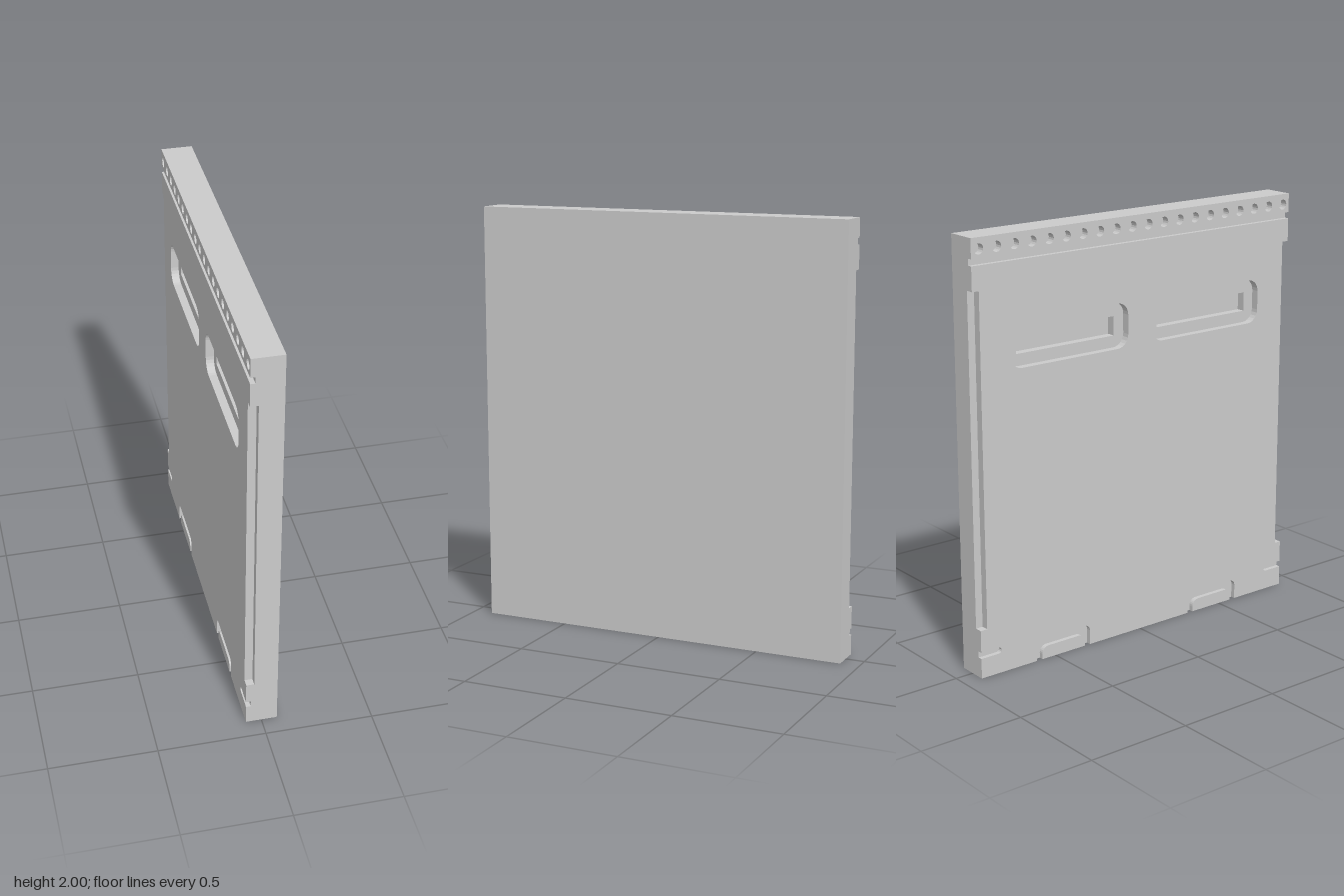
import * as THREE from 'three';

const HALF_X = 0.073, HALF_Z = 0.91, HEIGHT = 2;
const REBATE = 0.035;                         // width of the long edge rebates
const X1 = -0.051, X2 = -0.036, X3 = 0.005;   // depth steps behind the detailed face

const material = new THREE.MeshStandardMaterial({ color: 0xcccccc, flatShading: true });

// Points along an arc, angles in quarter turns
function arc(cx, cy, r, q0, q1, n = 6) {
  return Array.from({ length: n + 1 }, (_, i) => {
    const a = (q0 + (q1 - q0) * i / n) * Math.PI / 2;
    return [cx + r * Math.cos(a), cy + r * Math.sin(a)];
  });
}

// Rounded rectangle with separate radii for bottom and top corners
function roundRect(u0, u1, y0, y1, rBottom = 0, rTop = rBottom) {
  const corner = (u, y, r, q) => (r ? arc(u, y, r, q, q + 1) : [[u, y]]);
  return [
    ...corner(u1 - rBottom, y0 + rBottom, rBottom, 3),
    ...corner(u1 - rTop, y1 - rTop, rTop, 0),
    ...corner(u0 + rTop, y1 - rTop, rTop, 1),
    ...corner(u0 + rBottom, y0 + rBottom, rBottom, 2),
  ];
}

const toVectors = (pts) => pts.map(([u, y]) => new THREE.Vector2(u, y));

// Closes a right-hand half outline with its mirror image
const mirrored = (half) => [...half, ...half.map(([u, y]) => [-u, y]).reverse()];

// Extrudes a side-on outline along x, from x0 to x1
function slab(name, outline, holes, x0, x1) {
  const shape = new THREE.Shape(toVectors(outline));
  shape.holes = holes.map((h) => new THREE.Path(toVectors(h)));
  const geometry = new THREE.ExtrudeGeometry(shape, { depth: x1 - x0, bevelEnabled: false });
  geometry.rotateY(Math.PI / 2).translate(x0, 0, 0);
  const mesh = new THREE.Mesh(geometry, material);
  mesh.name = name;
  return mesh;
}

export function createModel() {
  const group = new THREE.Group();
  group.name = 'panel';
  const inner = HALF_Z - REBATE;

  // Row of round holes along the top
  const topHoles = Array.from({ length: 20 }, (_, i) =>
    arc(-0.871 + i * 1.742 / 19, 1.95, 0.024, 0, 4, 16).slice(0, -1));

  // Handle recesses and the deeper pockets inside them
  const handles = [], pockets = [];
  for (const c of [-0.395, 0.395]) {
    handles.push(roundRect(c - 0.325, c + 0.325, 1.4, 1.61, 0.06));
    pockets.push(roundRect(c - 0.27, c + 0.27, 1.455, 1.545));
  }

  // Edge with rebate, shared by the two front layers
  const edge = [[HALF_Z, 0.23], [inner, 0.23], [inner, 1.77], [HALF_Z, 1.77]];

  // Face layer: bottom latch openings, short edge slots, rebates
  const face = mirrored([
    [0.3, 0],
    ...arc(0.33, 0.07, 0.03, 2, 1),
    ...arc(0.575, 0.07, 0.03, 1, 0),
    [0.605, 0], [HALF_Z, 0],
    [HALF_Z, 0.095], ...arc(0.815, 0.11, 0.015, 3, 1), [HALF_Z, 0.125],
    ...edge, [HALF_Z, 1.88],
  ]);
  group.add(slab('facePlate', face, handles, -HALF_X, X1));

  // Tongues inside the latch openings
  for (const s of [-1, 1]) {
    const c = s * 0.4525;
    group.add(slab('latchTongue', roundRect(c - 0.122, c + 0.122, 0, 0.06, 0, 0.035), [], -HALF_X, X1));
  }

  // Perforated strip above the long groove
  group.add(slab('perforatedStrip', roundRect(-HALF_Z, HALF_Z, 1.91, HEIGHT), topHoles, -HALF_X, X1));

  // Layer that carries the rebates and handle recesses to full depth
  const middle = mirrored([[HALF_Z, 0], ...edge, [HALF_Z, HEIGHT]]);
  group.add(slab('recessLayer', middle, [...handles, ...topHoles], X1, X2));

  // Core with the handle pockets, then the plain back plate
  const full = roundRect(-HALF_Z, HALF_Z, 0, HEIGHT);
  group.add(slab('core', full, pockets, X2, X3));
  group.add(slab('plainPlate', full, [], X3, HALF_X));
  return group;
}
